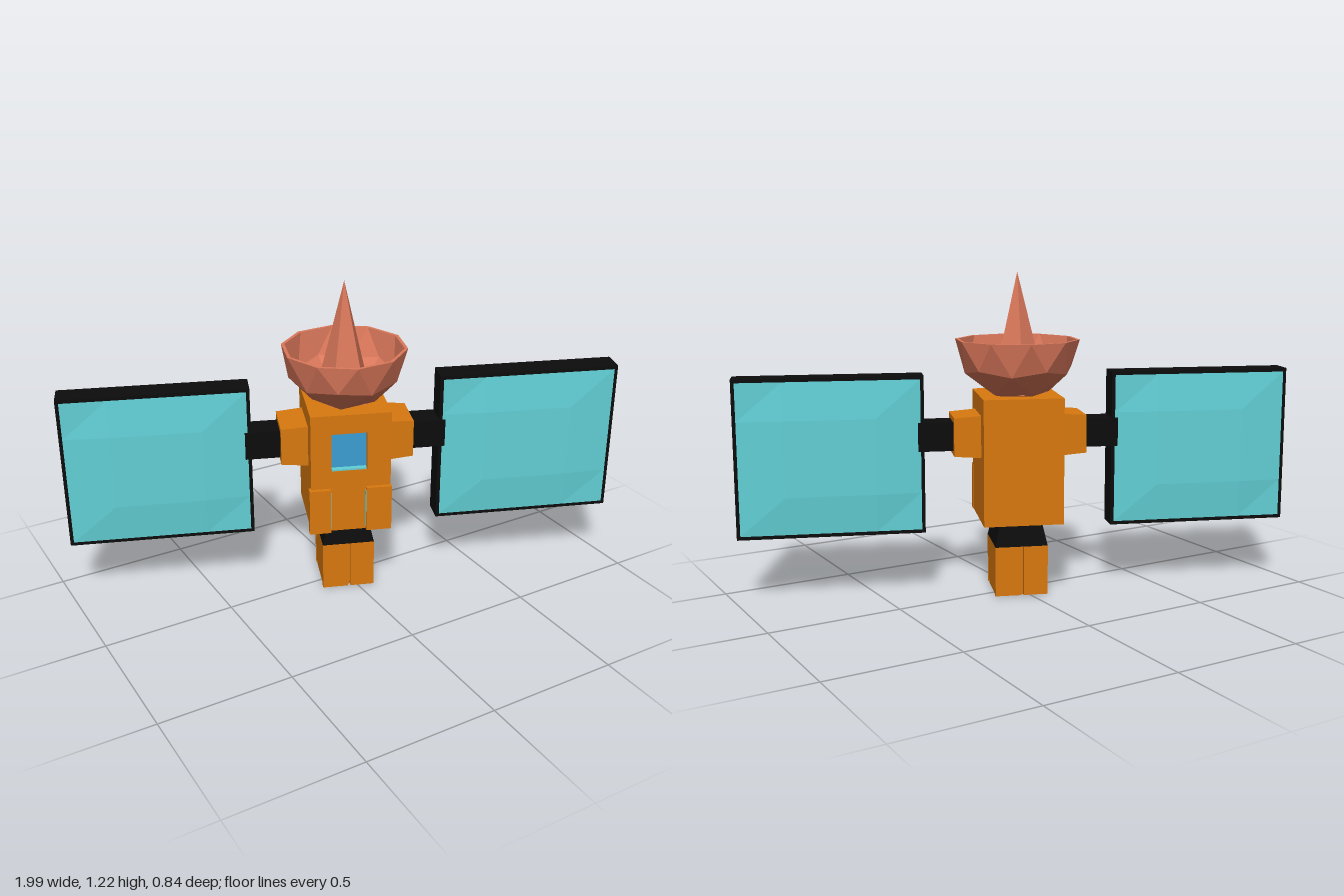
import * as THREE from 'three';

const mat = (color, side = THREE.FrontSide) =>
  new THREE.MeshStandardMaterial({ color, flatShading: true, side });
const ORANGE = mat(0xd9790f), BLACK = mat(0x0c0c0c), TEAL = mat(0x62d0d6);
const BLUE = mat(0x3d9fd3), CORAL = mat(0xdb785b);

function add(parent, name, geometry, material, x = 0, y = 0, z = 0) {
  const mesh = new THREE.Mesh(geometry, material);
  mesh.name = name;
  mesh.position.set(x, y, z);
  parent.add(mesh);
  return mesh;
}

const box = (w, h, d) => new THREE.BoxGeometry(w, h, d);

// Rectangular plate with a rectangular opening; rects are [x0, y0, x1, y1]
function framePlate(outer, inner, depth) {
  const trace = (p, [x0, y0, x1, y1]) =>
    p.moveTo(x0, y0).lineTo(x1, y0).lineTo(x1, y1).lineTo(x0, y1).closePath();
  const shape = trace(new THREE.Shape(), outer);
  shape.holes.push(trace(new THREE.Path(), inner));
  return new THREE.ExtrudeGeometry(shape, { depth, bevelEnabled: false });
}

// Square block whose top and bottom have different sizes
function taperedBlock(wTop, dTop, wBottom, dBottom, h) {
  const g = box(1, h, 1), p = g.attributes.position;
  for (let i = 0; i < p.count; i++) {
    const top = p.getY(i) > 0;
    p.setX(i, p.getX(i) * (top ? wTop : wBottom));
    p.setZ(i, p.getZ(i) * (top ? dTop : dBottom));
  }
  g.computeVertexNormals();
  return g;
}

// Lower half of a faceted sphere, optionally facing inwards
function bowl(radius, inward) {
  const src = new THREE.IcosahedronGeometry(radius, 1);
  src.rotateZ(Math.atan(2 / (1 + Math.sqrt(5)))).rotateY(Math.PI / 2);
  const p = src.attributes.position, out = [];
  for (let i = 0; i < p.count; i += 3) {
    if (p.getY(i) + p.getY(i + 1) + p.getY(i + 2) > -0.001) continue;
    for (const k of inward ? [0, 2, 1] : [0, 1, 2])
      out.push(p.getX(i + k), p.getY(i + k), p.getZ(i + k));
  }
  const g = new THREE.BufferGeometry();
  g.setAttribute('position', new THREE.Float32BufferAttribute(out, 3));
  g.computeVertexNormals();
  return g;
}

// Slightly domed sheet of solar cells
function cellSheet(w, h, bulge) {
  const g = new THREE.PlaneGeometry(w, h, 4, 4), p = g.attributes.position;
  for (let i = 0; i < p.count; i++) {
    const a = 1 - Math.abs(2 * p.getX(i) / w), b = 1 - Math.abs(2 * p.getY(i) / h);
    p.setZ(i, bulge * Math.min(1, 2 * a) * Math.min(1, 2 * b));
  }
  g.computeVertexNormals();
  return g;
}

// One wing reaching out along +x: socket, arm and solar panel
function wing() {
  const g = new THREE.Group();
  const socket = framePlate([-0.09, -0.08, 0.09, 0.08], [-0.065, -0.058, 0.065, 0.058], 0.11);
  const p = socket.attributes.position;
  for (let i = 0; i < p.count; i++)
    if (p.getZ(i) > 0.05) p.setXYZ(i, p.getX(i) * 0.95, p.getY(i) * 0.9, p.getZ(i));
  socket.computeVertexNormals();
  socket.rotateY(Math.PI / 2);
  add(g, 'armSocket', socket, ORANGE, 0.14, 0.617, 0);
  add(g, 'socketFloor', box(0.05, 0.12, 0.135), TEAL, 0.185, 0.617, 0);
  add(g, 'arm', box(0.2, 0.108, 0.105), BLACK, 0.28, 0.615, 0);
  add(g, 'panelFrame', box(0.693, 0.595, 0.094), BLACK, 0.703, 0.548, 0);
  for (const s of [1, -1]) {
    const sheet = add(g, 'solarCells', cellSheet(0.667, 0.568, 0.012), TEAL, 0.703, 0.548, s * 0.0485);
    if (s < 0) sheet.rotation.y = Math.PI;
  }
  return g;
}

export function createModel() {
  const root = new THREE.Group();
  root.name = 'satellite';
  const craft = new THREE.Group();
  craft.name = 'craft';
  craft.rotation.y = -0.365;
  root.add(craft);

  // Main body with a recessed window
  add(craft, 'body', box(0.3, 0.475, 0.295), ORANGE, 0, 0.5275, -0.0125);
  add(craft, 'bodyFront', framePlate([-0.15, 0.29, 0.15, 0.765], [-0.073, 0.54, 0.061, 0.69], 0.025),
    ORANGE, 0, 0, 0.135);
  add(craft, 'window', box(0.134, 0.15, 0.004), BLUE, -0.006, 0.615, 0.136);
  add(craft, 'windowSill', box(0.13, 0.006, 0.022), TEAL, -0.006, 0.543, 0.147);

  // Raised lower pads, with coloured inner edges
  for (const [x0, x1, edge] of [[-0.158, -0.078, -0.077], [0.056, 0.152, 0.055]]) {
    add(craft, 'lowerPad', box(x1 - x0, 0.18, 0.03), ORANGE, (x0 + x1) / 2, 0.38, 0.162);
    add(craft, 'padEdge', box(0.003, 0.15, 0.022), TEAL, edge, 0.38, 0.162);
  }

  // Neck and base block split by a narrow front and back groove
  add(craft, 'neck', taperedBlock(0.155, 0.165, 0.2, 0.21, 0.1), BLACK, 0, 0.245, 0);
  add(craft, 'base', taperedBlock(0.2, 0.18, 0.194, 0.174, 0.193), ORANGE, 0, 0.0985, 0);
  for (const s of [1, -1])
    for (const [x0, x1] of [[-0.1, -0.001], [0.008, 0.1]])
      add(craft, 'basePlate', taperedBlock(x1 - x0, 0.018, x1 - x0, 0.018, 0.19),
        ORANGE, s * (x0 + x1) / 2, 0.1, s * 0.097);
  add(craft, 'baseCap', box(0.11, 0.004, 0.11), ORANGE, 0, 0.002, 0);

  // Wings; the second is turned half way round
  const left = wing(), right = wing();
  left.name = 'leftWing';
  right.name = 'rightWing';
  right.rotation.y = Math.PI;
  craft.add(left, right);

  // Dish and antenna spike
  add(root, 'dishOutside', bowl(0.235, false), CORAL, 0, 0.97, 0);
  add(root, 'dishInside', bowl(0.222, true), CORAL, 0, 0.97, 0);
  add(root, 'dishRim', new THREE.RingGeometry(0.222, 0.235, 10).rotateX(-Math.PI / 2), CORAL, 0, 0.97, 0);
  add(root, 'antenna', new THREE.ConeGeometry(0.112, 0.45, 5, 1, false, Math.PI / 2), CORAL, 0, 0.995, 0);
  return root;
}
